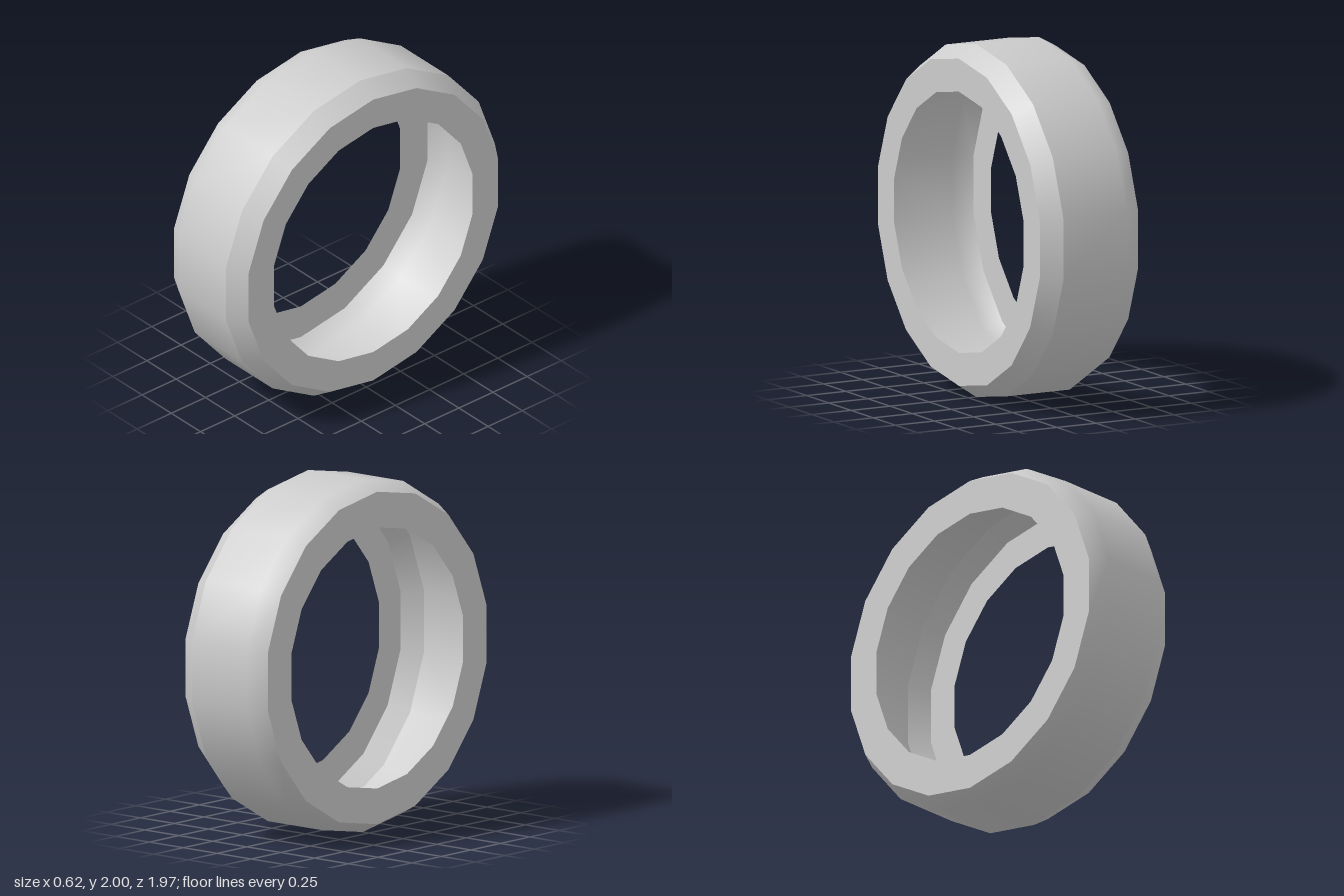
import * as THREE from 'three';

const SIDES = 18;

export function createModel() {
  const model = new THREE.Group();
  model.name = 'tyre';

  const grey = new THREE.MeshStandardMaterial({ color: 0xcccccc, side: THREE.DoubleSide });
  grey.name = 'light grey';

  // Spin a profile of [x, radius] points around the x axis, with a vertex at the top
  function ring(name, profile) {
    const points = profile.map(([x, r]) => new THREE.Vector2(r, x));
    const geometry = new THREE.LatheGeometry(points, SIDES, Math.PI / 2);
    geometry.rotateZ(-Math.PI / 2);
    const mesh = new THREE.Mesh(geometry, grey);
    mesh.name = name;
    mesh.position.y = 1;
    model.add(mesh);
  }

  // Thin hollow shell: each ring is smooth around, sharp where two rings meet
  ring('rightSidewall', [[-0.31, 0.74], [-0.31, 0.942]]);
  ring('treadAndRightShoulder', [[-0.31, 0.942], [-0.205, 1], [0.2, 1]]);
  ring('leftShoulder', [[0.2, 1], [0.31, 0.927]]);
  ring('leftSidewall', [[0.31, 0.927], [0.31, 0.74]]);

  return model;
}
